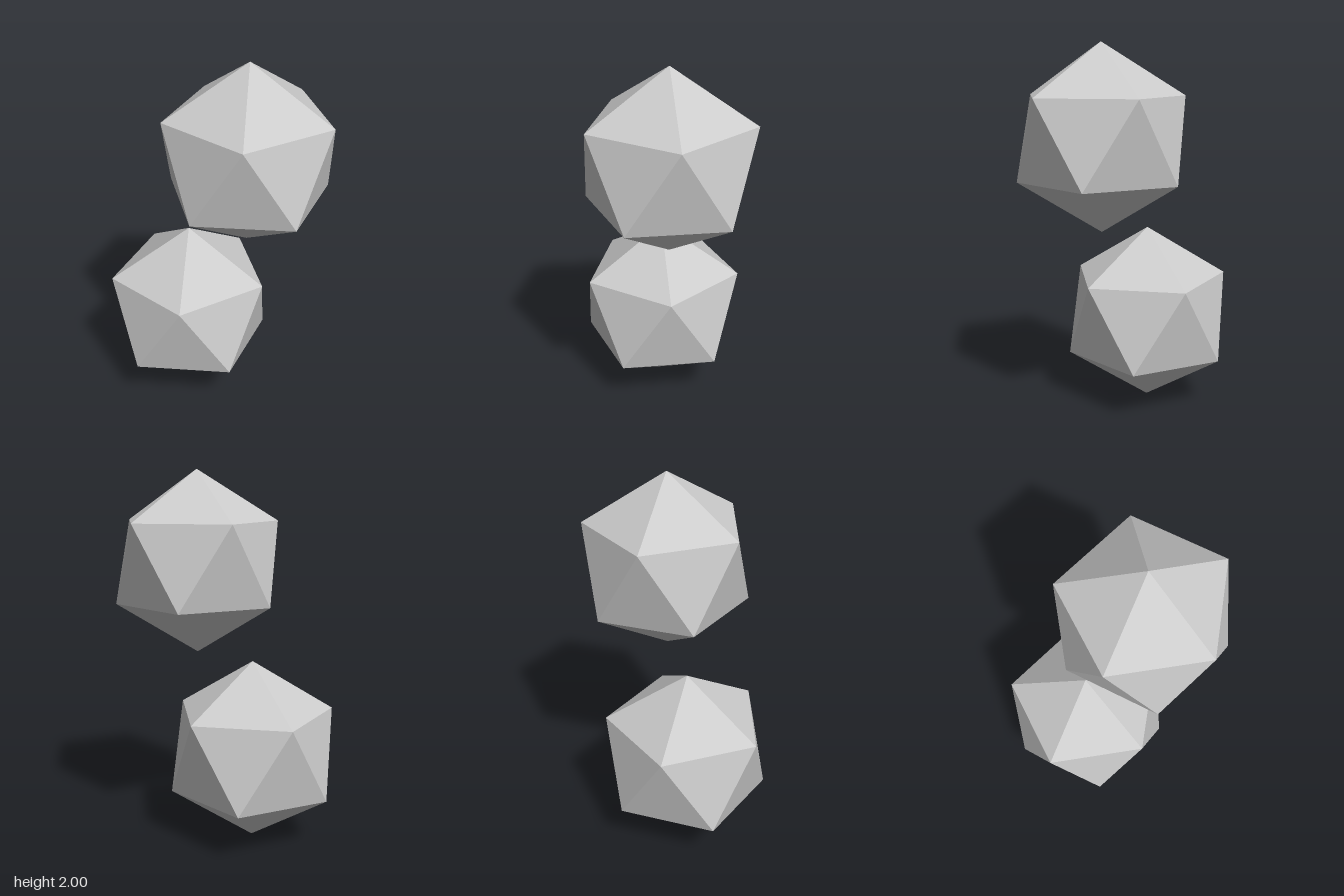
import * as THREE from 'three';

const RADIUS = 0.495;

// Icosahedron standing on a vertex, upper ring pointing at +x
function uprightIcosahedron(radius) {
  const h = 1 / Math.sqrt(5), r = 2 * h;
  const vertices = [0, 1, 0];
  for (const [y, turn] of [[h, 0], [-h, Math.PI / 5]]) {
    for (let k = 0; k < 5; k++) {
      const a = turn + (k * Math.PI * 2) / 5;
      vertices.push(r * Math.cos(a), y, -r * Math.sin(a));
    }
  }
  vertices.push(0, -1, 0);

  const faces = [];
  for (let k = 0; k < 5; k++) {
    const n = (k + 1) % 5;
    const u = 1 + k, uNext = 1 + n, l = 6 + k, lNext = 6 + n;
    faces.push(0, u, uNext); // top cap
    faces.push(u, l, uNext, l, lNext, uNext); // middle band
    faces.push(11, lNext, l); // bottom cap
  }
  return new THREE.PolyhedronGeometry(vertices, faces, radius, 0);
}

export function createModel() {
  const model = new THREE.Group();
  const geometry = uprightIcosahedron(RADIUS);
  const material = new THREE.MeshStandardMaterial({ color: 0xcccccc, flatShading: true });

  // Two equal solids, one above the other and shifted sideways
  for (const [name, x, y] of [
    ['lowerIcosahedron', -0.171, RADIUS],
    ['upperIcosahedron', 0.171, 2 - RADIUS],
  ]) {
    const mesh = new THREE.Mesh(geometry, material);
    mesh.name = name;
    mesh.position.set(x, y, 0);
    model.add(mesh);
  }
  return model;
}
